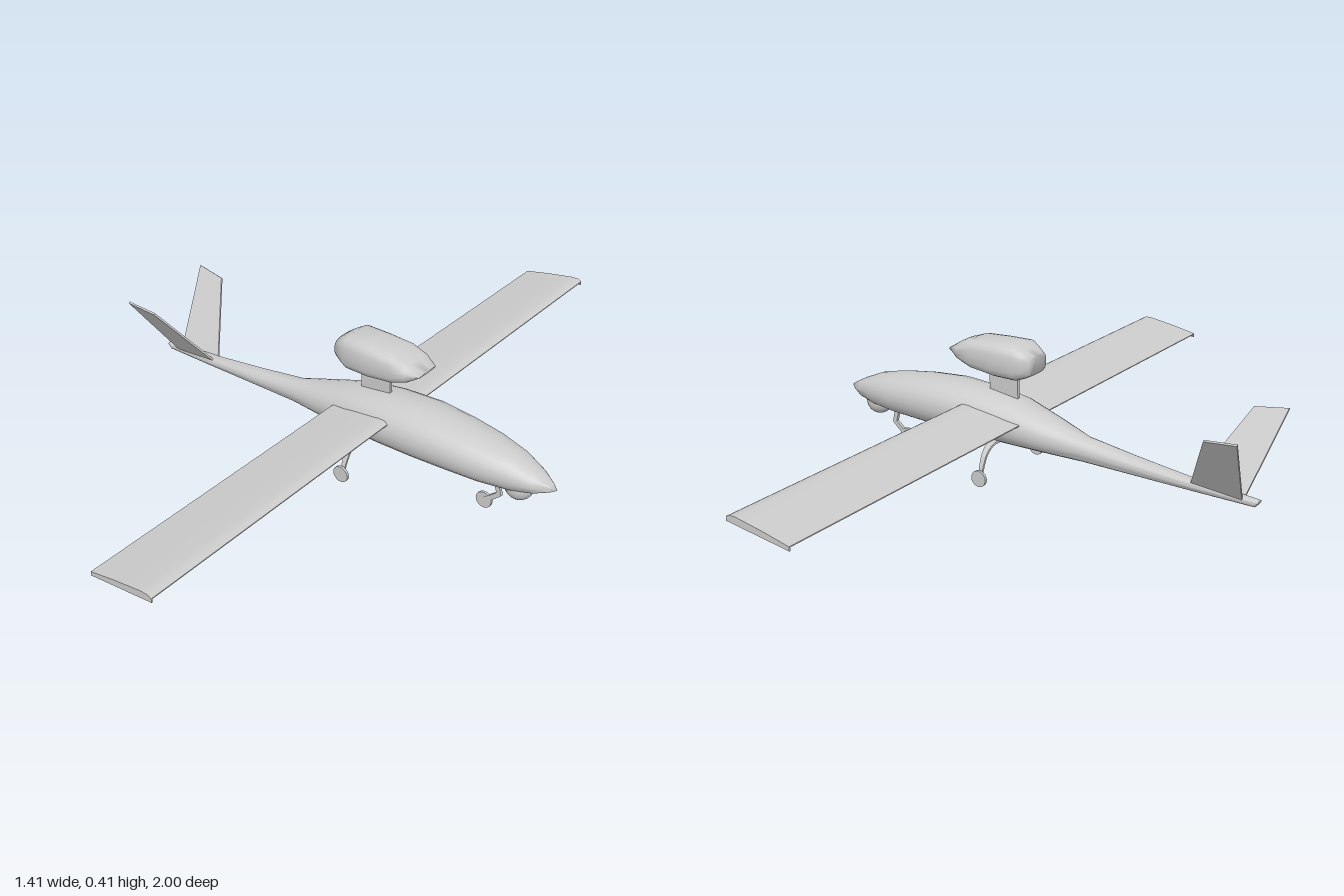
import * as THREE from 'three';
import { toCreasedNormals } from 'three/addons/utils/BufferGeometryUtils.js';

const material = new THREE.MeshStandardMaterial({ color: 0xcccccc });

function part(name, geometry, parent) {
  const mesh = new THREE.Mesh(geometry, material);
  mesh.name = name;
  parent.add(mesh);
  return mesh;
}

// Skin closed rings (counter-clockwise about the direction of travel) and cap both ends.
function loft(rings, crease) {
  const n = rings[0].length, last = rings.length - 1;
  const pos = rings.flat().flatMap((p) => [p.x, p.y, p.z]);
  const index = [];
  for (let i = 0; i < last; i++) {
    for (let j = 0; j < n; j++) {
      const a = i * n + j, b = i * n + ((j + 1) % n);
      index.push(a, b, a + n, b, b + n, a + n);
    }
  }
  for (let j = 1; j < n - 1; j++) {
    index.push(0, j + 1, j, last * n, last * n + j, last * n + j + 1);
  }
  const g = new THREE.BufferGeometry();
  g.setAttribute('position', new THREE.Float32BufferAttribute(pos, 3));
  g.setIndex(index);
  return toCreasedNormals(g, crease);
}

// Body cross-section at x; power below 1 squares off the ellipse.
function bodyRing([x, bottom, top, halfWidth], power) {
  const sides = 24;
  const bend = (v) => Math.sign(v) * Math.abs(v) ** power;
  return Array.from({ length: sides }, (_, j) => {
    const a = (j / sides) * Math.PI * 2;
    return new THREE.Vector3(
      x,
      (top + bottom) / 2 + (bend(Math.cos(a)) * (top - bottom)) / 2,
      bend(Math.sin(a)) * halfWidth
    );
  });
}

// Flat strut following a path; widths run along the given axis.
function strut(points, widths, thickness, axis) {
  const rings = points.map((p, i) => {
    const t = points[Math.min(i + 1, points.length - 1)].clone()
      .sub(points[Math.max(i - 1, 0)]).normalize();
    const normal = t.cross(axis).normalize();
    return [[-1, -1], [1, -1], [1, 1], [-1, 1]].map(([u, v]) => p.clone()
      .addScaledVector(axis, (u * widths[i]) / 2)
      .addScaledVector(normal, (v * thickness) / 2));
  });
  return loft(rings, 0.6);
}

const V = (x, y, z) => new THREE.Vector3(x, y, z);

// Cambered slab between two z stations, following the wing's upper curve
function wingSlab(z0, z1, depth) {
  const camber = [
    [0.014, 0.184], [0.05, 0.191], [0.09, 0.199], [0.14, 0.207],
    [0.185, 0.214], [0.207, 0.214], [0.218, 0.208],
  ];
  const lower = camber.map(([x, y]) => [x, y - depth]);
  const outline = [...lower, ...camber.reverse()];
  return loft([z0, z1].map((z) => outline.map(([x, y]) => V(x, y, z))), 0.6);
}

function wheel(name, x, z, parent) {
  const g = new THREE.CylinderGeometry(0.025, 0.025, 0.008, 20).rotateX(Math.PI / 2);
  part(name, g, parent).position.set(x, 0.025, z);
}

export function createModel() {
  const model = new THREE.Group();
  model.name = 'aircraft';

  // Fuselage sections: x, bottom, top, half width
  const body = [
    [-0.707, 0.098, 0.107, 0.009], [-0.695, 0.085, 0.109, 0.011],
    [-0.51, 0.087, 0.122, 0.019], [-0.33, 0.09, 0.143, 0.028],
    [-0.17, 0.093, 0.165, 0.038], [-0.06, 0.095, 0.198, 0.064],
    [0.06, 0.097, 0.234, 0.086], [0.17, 0.099, 0.249, 0.097],
    [0.29, 0.101, 0.255, 0.099], [0.4, 0.104, 0.247, 0.093],
    [0.5, 0.107, 0.233, 0.083], [0.585, 0.113, 0.215, 0.064],
    [0.65, 0.126, 0.187, 0.041], [0.69, 0.142, 0.165, 0.016],
    [0.707, 0.152, 0.154, 0.001],
  ];
  part('fuselage', loft(body.map((s) => bodyRing(s, 0.93)), 1.2), model);

  // Straight wing, a thin cambered sheet
  part('wing', wingSlab(-0.996, 0.996, 0.003), model);

  // Engine pod on a pylon
  const pod = [
    [0, 0.323, 0.38, 0.045], [0.022, 0.311, 0.396, 0.056],
    [0.047, 0.301, 0.41, 0.066], [0.12, 0.302, 0.408, 0.068],
    [0.2, 0.312, 0.403, 0.066], [0.248, 0.33, 0.386, 0.058],
    [0.285, 0.356, 0.362, 0.04],
  ];
  part('enginePod', loft(pod.map((s) => bodyRing(s, 0.6)), 1.2), model);
  part('enginePylon', new THREE.BoxGeometry(0.1, 0.1, 0.01), model)
    .position.set(0.115, 0.265, 0);

  // Camera ball under the nose
  part('sensorBall', new THREE.SphereGeometry(0.042, 24, 16), model)
    .position.set(0.596, 0.123, 0);

  // Nose gear
  const noseGear = new THREE.Group();
  noseGear.name = 'noseGear';
  model.add(noseGear);
  const nosePath = [V(0.521, 0.125, 0), V(0.536, 0.064, 0), V(0.492, 0.027, 0)];
  part('noseLeg', strut(nosePath, [0.01, 0.01, 0.01], 0.016, V(0, 0, 1)), noseGear);
  wheel('noseWheel', 0.489, 0, noseGear);

  // V-tail fins, main gear and wing end plates, mirrored across the centre line
  for (const side of [1, -1]) {
    const half = new THREE.Group();
    half.name = side > 0 ? 'frontSideParts' : 'backSideParts';
    half.scale.z = side;
    model.add(half);

    part('wingEndPlate', wingSlab(0.996, 1, 0.012), half);

    const out = V(0, 0.58, -0.81).multiplyScalar(0.003);
    const finRing = (rear, lead) => [
      rear.clone().sub(out), lead.clone().sub(out),
      lead.clone().add(out), rear.clone().add(out),
    ];
    const root = finRing(V(-0.66, 0.1, 0.008), V(-0.507, 0.112, 0.01));
    const tip = finRing(V(-0.706, 0.316, 0.159), V(-0.608, 0.304, 0.15));
    part('tailFin', loft([root, tip], 0.4), half);

    const curve = new THREE.CatmullRomCurve3([
      V(0.105, 0.114, 0.05), V(0.105, 0.11, 0.088), V(0.105, 0.09, 0.115),
      V(0.104, 0.06, 0.131), V(0.103, 0.025, 0.142),
    ]);
    const path = curve.getPoints(14);
    const widths = path.map((p, i) => 0.024 - 0.013 * (i / 14));
    part('mainLeg', strut(path, widths, 0.007, V(1, 0, 0)), half);
    wheel('mainWheel', 0.103, 0.148, half);
  }

  return model;
}
